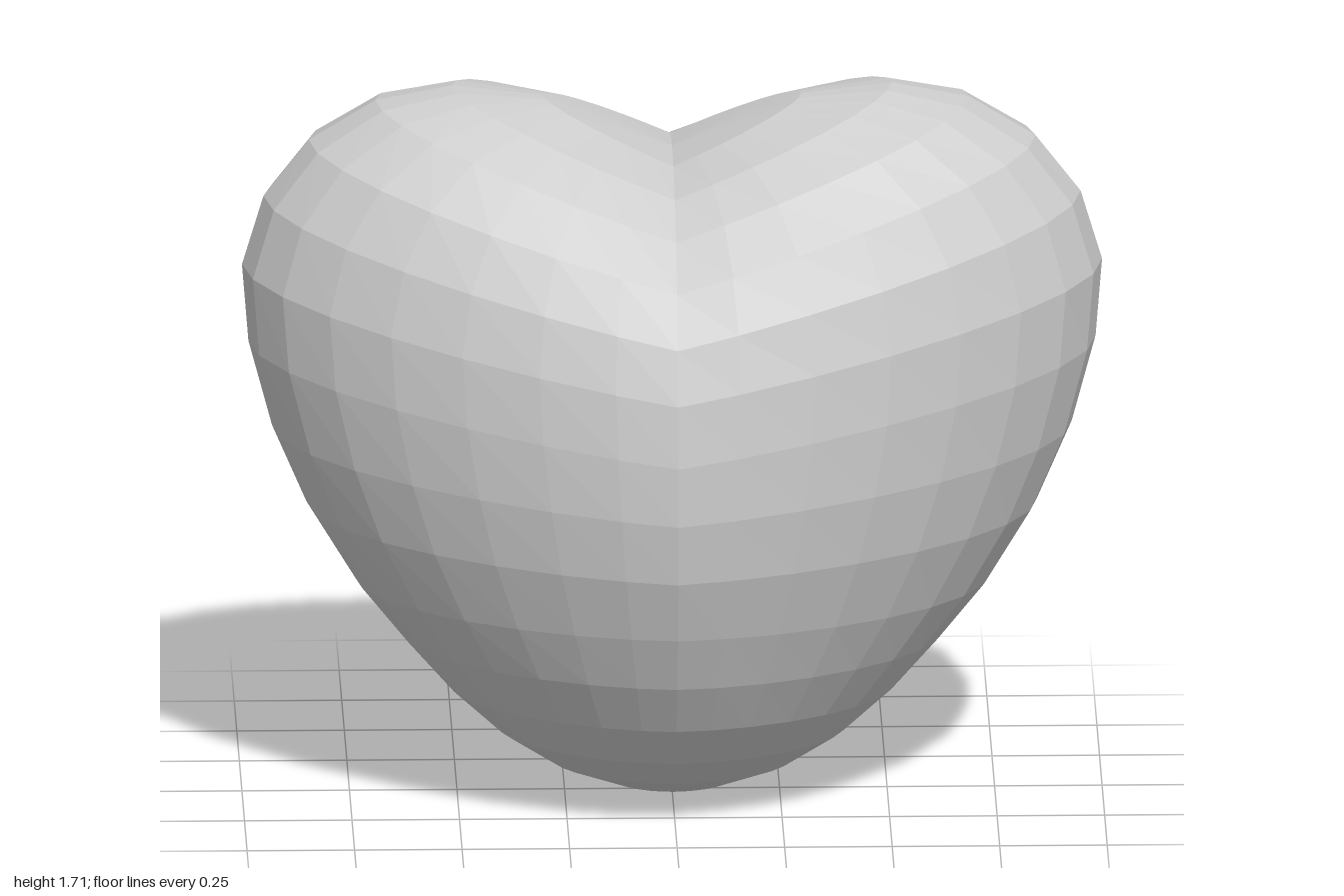
import * as THREE from 'three';

// Rings from top to tip: [half width, half depth, height at the middle, extra height at the sides]
const RINGS = [
  [0, 0, 1.555, 0],
  [0.30, 0.14, 1.545, 0.135],
  [0.51, 0.285, 1.505, 0.20],
  [0.69, 0.40, 1.435, 0.235],
  [0.845, 0.51, 1.34, 0.235],
  [0.95, 0.58, 1.225, 0.215],
  [1.0, 0.62, 1.10, 0.175],
  [0.985, 0.638, 0.955, 0.135],
  [0.93, 0.64, 0.815, 0.07],
  [0.85, 0.62, 0.67, 0.03],
  [0.74, 0.57, 0.52, 0],
  [0.63, 0.51, 0.385, 0],
  [0.52, 0.43, 0.26, 0],
  [0.405, 0.335, 0.155, 0],
  [0.28, 0.225, 0.075, 0],
  [0.14, 0.118, 0.025, 0],
  [0, 0, 0, 0],
];
const SEGMENTS = 32;

export function createModel() {
  const rows = RINGS.length - 1;
  const geometry = new THREE.SphereGeometry(1, SEGMENTS, rows);
  const pos = geometry.attributes.position;

  // Reshape each ring of the sphere: pinched oval, raised towards both lobes
  RINGS.forEach(([width, depth, height, lift], row) => {
    const bulge = Math.sin((Math.PI * row) / rows);
    for (let i = 0; i <= SEGMENTS; i++) {
      const angle = (2 * Math.PI * (i % SEGMENTS)) / SEGMENTS;
      const c = -Math.cos(angle);
      const across = Math.pow(Math.abs(c), 1 + 0.2 * bulge);
      pos.setXYZ(
        row * (SEGMENTS + 1) + i,
        Math.sign(c) * across * width,
        height + lift * across,
        Math.sin(angle) * depth * (1 - 0.06 * bulge * across),
      );
    }
  });
  geometry.computeVertexNormals();

  const heart = new THREE.Mesh(
    geometry,
    new THREE.MeshStandardMaterial({ color: 0xcccccc, flatShading: true }),
  );
  heart.name = 'heart';

  const group = new THREE.Group();
  group.name = 'heartModel';
  group.add(heart);
  return group;
}
